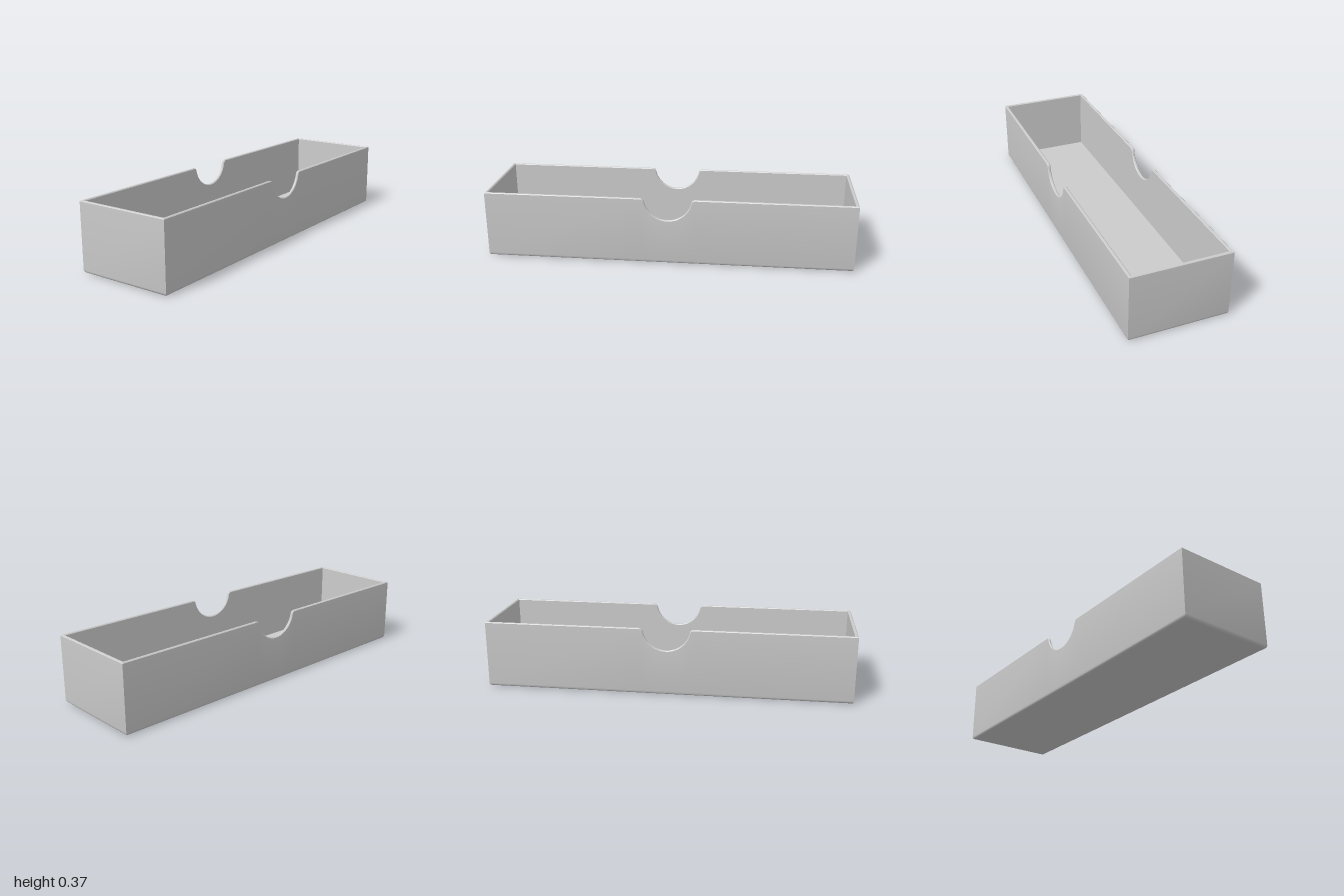
import * as THREE from 'three';
import { toCreasedNormals } from 'three/addons/utils/BufferGeometryUtils.js';

const HALF_X = 1, HALF_Z = 0.267, HEIGHT = 0.37;
const WALL = 0.017, FLOOR = 0.017, ROUND = 0.017, CHAMFER = 0.004;

// Stations along one long side: corner, rim curve of the thumb notch, corner
function sideStations() {
  const r = 0.13, cy = 0.38, f = 0.02, fy = HEIGHT - f;
  const fx = Math.sqrt((r + f) ** 2 - (cy - fy) ** 2);
  const tilt = Math.atan2(cy - fy, fx);
  const lip = [], bowl = [];
  for (let i = 0; i <= 6; i++) {
    const a = Math.PI / 2 + (Math.PI / 2 - tilt) * i / 6;
    const nx = Math.cos(a), ny = Math.sin(a);
    lip.push({ x: fx + f * nx, y: fy + f * ny, nx, ny, corner: 0 });
  }
  const n = 28;
  for (let i = 1; i < n; i++) {
    const a = Math.PI + tilt + (Math.PI - 2 * tilt) * i / n;
    const nx = -Math.cos(a), ny = -Math.sin(a);
    bowl.push({ x: -r * nx, y: cy - r * ny, nx, ny, corner: 0 });
  }
  const leftLip = lip.map(p => ({ ...p, x: -p.x, nx: -p.nx }));
  const corner = sign => ({ x: sign * HALF_X, y: HEIGHT, nx: 0, ny: 1, corner: sign });
  return [corner(-1), ...leftLip, ...bowl, ...lip.reverse(), corner(1)];
}

// Wall section: underside, rounded foot, outer face, chamfered rim, inner face, floor
function wallSection() {
  const section = [{ centre: true, y: 0 }];
  for (let i = 0; i <= 4; i++) {
    const a = Math.PI / 2 * i / 4;
    section.push({ inset: ROUND * (1 - Math.sin(a)), y: ROUND * (1 - Math.cos(a)) });
  }
  section.push(
    { inset: 0, drop: CHAMFER }, { inset: CHAMFER, drop: 0 },
    { inset: WALL - CHAMFER, drop: 0 }, { inset: WALL, drop: CHAMFER },
    { inset: WALL, y: FLOOR }, { centre: true, y: FLOOR });
  return section;
}

// The section swept around the four walls; the second long side is the first turned by 180 degrees
function trayGeometry() {
  const side = sideStations();
  const stations = [1, -1].flatMap(turn => side.map(p => ({ ...p, turn })));
  const section = wallSection();

  const point = (st, k) => {
    if (k.centre) return new THREE.Vector3(0, k.y, 0);
    const onRim = k.drop !== undefined;
    const x = st.x - st.corner * k.inset - (onRim ? st.nx * k.drop : 0);
    const y = onRim ? st.y - st.ny * k.drop : k.y;
    return new THREE.Vector3(x * st.turn, y, (HALF_Z - k.inset) * st.turn);
  };

  const verts = [];
  const triangle = (a, b, c) => {
    if (a.equals(b) || b.equals(c) || c.equals(a)) return;
    for (const p of [a, b, c]) verts.push(p.x, p.y, p.z);
  };
  stations.forEach((st, i) => {
    const next = stations[(i + 1) % stations.length];
    for (let j = 0; j < section.length - 1; j++) {
      const a = point(st, section[j]), b = point(next, section[j]);
      const c = point(next, section[j + 1]), d = point(st, section[j + 1]);
      triangle(a, b, c);
      triangle(a, c, d);
    }
  });
  const geometry = new THREE.BufferGeometry();
  geometry.setAttribute('position', new THREE.Float32BufferAttribute(verts, 3));
  return toCreasedNormals(geometry, 0.5);
}

export function createModel() {
  const group = new THREE.Group();
  group.name = 'openTray';
  const grey = new THREE.MeshStandardMaterial({ color: 0xcccccc });
  grey.name = 'plainGrey';
  const tray = new THREE.Mesh(trayGeometry(), grey);
  tray.name = 'trayShell';
  group.add(tray);
  return group;
}
